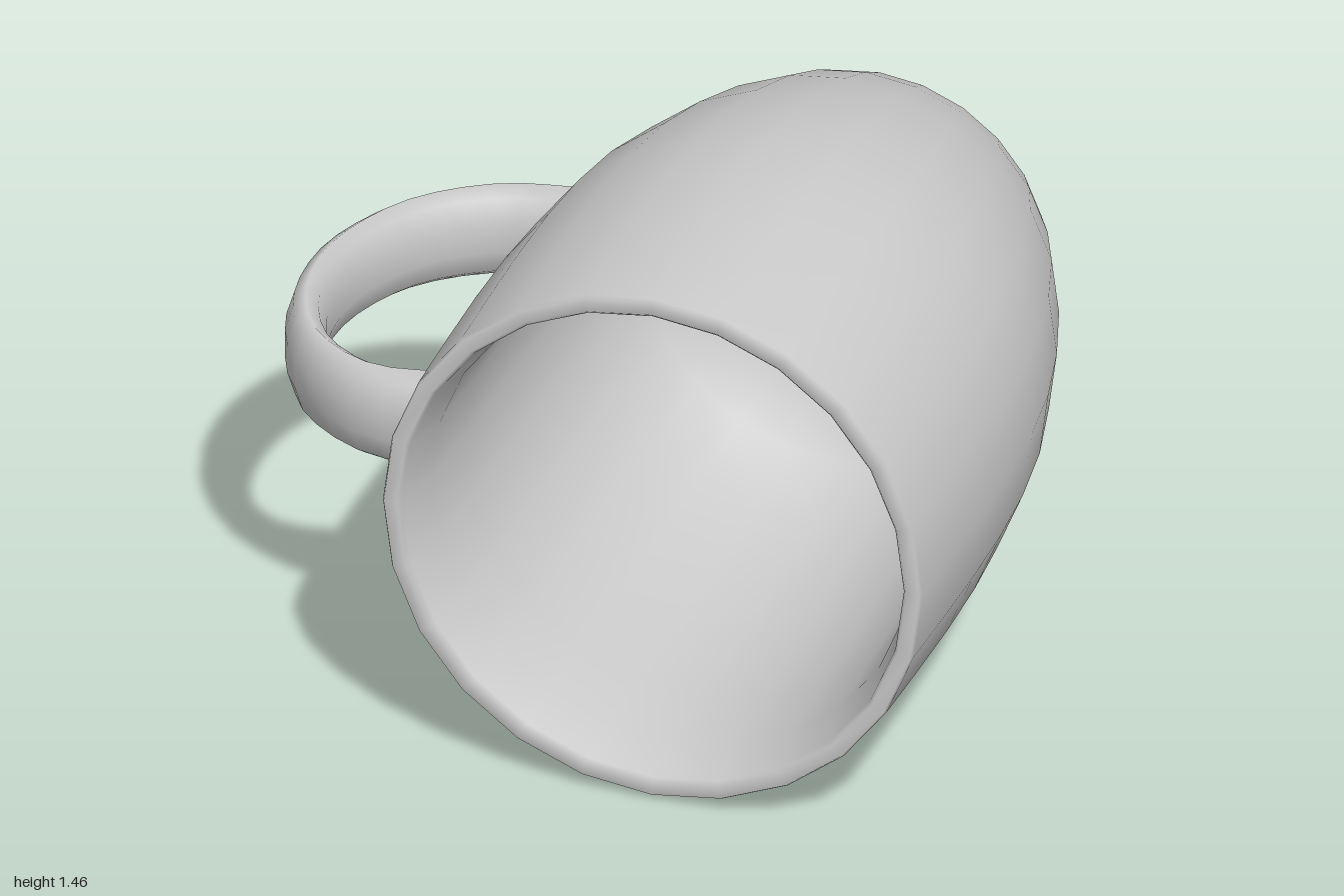
import * as THREE from 'three';
import { mergeVertices } from 'three/addons/utils/BufferGeometryUtils.js';

const grey = new THREE.MeshStandardMaterial({ color: 0xcccccc, side: THREE.DoubleSide });
const AXIS_X = 0.265, AXIS_Y = 0.735;

// Hollow barrel lying along z, mouth towards +z: [radius, z] from the foot's dish, over the rim, to the inner floor
function createCup() {
  const profile = [
    [0, -0.77], [0.2, -0.785], [0.34, -0.82], [0.42, -0.868], [0.435, -0.872], [0.45, -0.86],
    [0.505, -0.76], [0.575, -0.6], [0.64, -0.4], [0.688, -0.2], [0.715, 0], [0.728, 0.2],
    [0.732, 0.42], [0.73, 0.65], [0.726, 0.86], [0.72, 0.872],
    [0.685, 0.872], [0.675, 0.86], [0.645, 0.72], [0.638, 0.5], [0.635, 0.2], [0.62, -0.1],
    [0.585, -0.35], [0.52, -0.54], [0.42, -0.65], [0.25, -0.69], [0, -0.7],
  ].map(([r, z]) => new THREE.Vector2(r, z));
  const geometry = new THREE.LatheGeometry(profile, 24).rotateX(Math.PI / 2);
  const cup = new THREE.Mesh(geometry, grey);
  cup.name = 'cup';
  cup.position.set(AXIS_X, AXIS_Y, 0);
  return cup;
}

// Flat, strap-like loop in the xz plane, flaring where it meets the wall
function createHandle() {
  const curve = new THREE.CatmullRomCurve3([
    [-0.29, -0.56], [-0.42, -0.55], [-0.62, -0.515], [-0.81, -0.375], [-0.915, -0.17], [-0.938, 0],
    [-0.91, 0.18], [-0.82, 0.345], [-0.64, 0.46], [-0.43, 0.46],
  ].map(([x, z]) => new THREE.Vector3(x, 0, z)));
  const rings = 24, sides = 10, thickness = 0.055, halfHeight = 0.13;
  const geometry = new THREE.TubeGeometry(curve, rings, thickness, sides);
  const pos = geometry.attributes.position;
  const v = new THREE.Vector3();
  for (let i = 0; i <= rings; i++) {
    const t = i / rings;
    const centre = curve.getPointAt(t);
    const end = Math.pow(Math.abs(2 * t - 1), 6);
    for (let j = 0; j <= sides; j++) {
      const k = i * (sides + 1) + j;
      v.fromBufferAttribute(pos, k).sub(centre).multiplyScalar(1 + 0.55 * end);
      v.y *= (halfHeight / thickness) * (1 + 0.15 * end) / (1 + 0.55 * end);
      v.add(centre);
      pos.setXYZ(k, v.x, v.y, v.z);
    }
  }
  geometry.deleteAttribute('uv');
  geometry.deleteAttribute('normal');
  const smooth = mergeVertices(geometry);
  smooth.computeVertexNormals();
  const handle = new THREE.Mesh(smooth, grey);
  handle.name = 'handle';
  handle.position.y = 0.747;
  return handle;
}

export function createModel() {
  const mug = new THREE.Group();
  mug.name = 'mug';
  mug.add(createCup(), createHandle());
  return mug;
}
